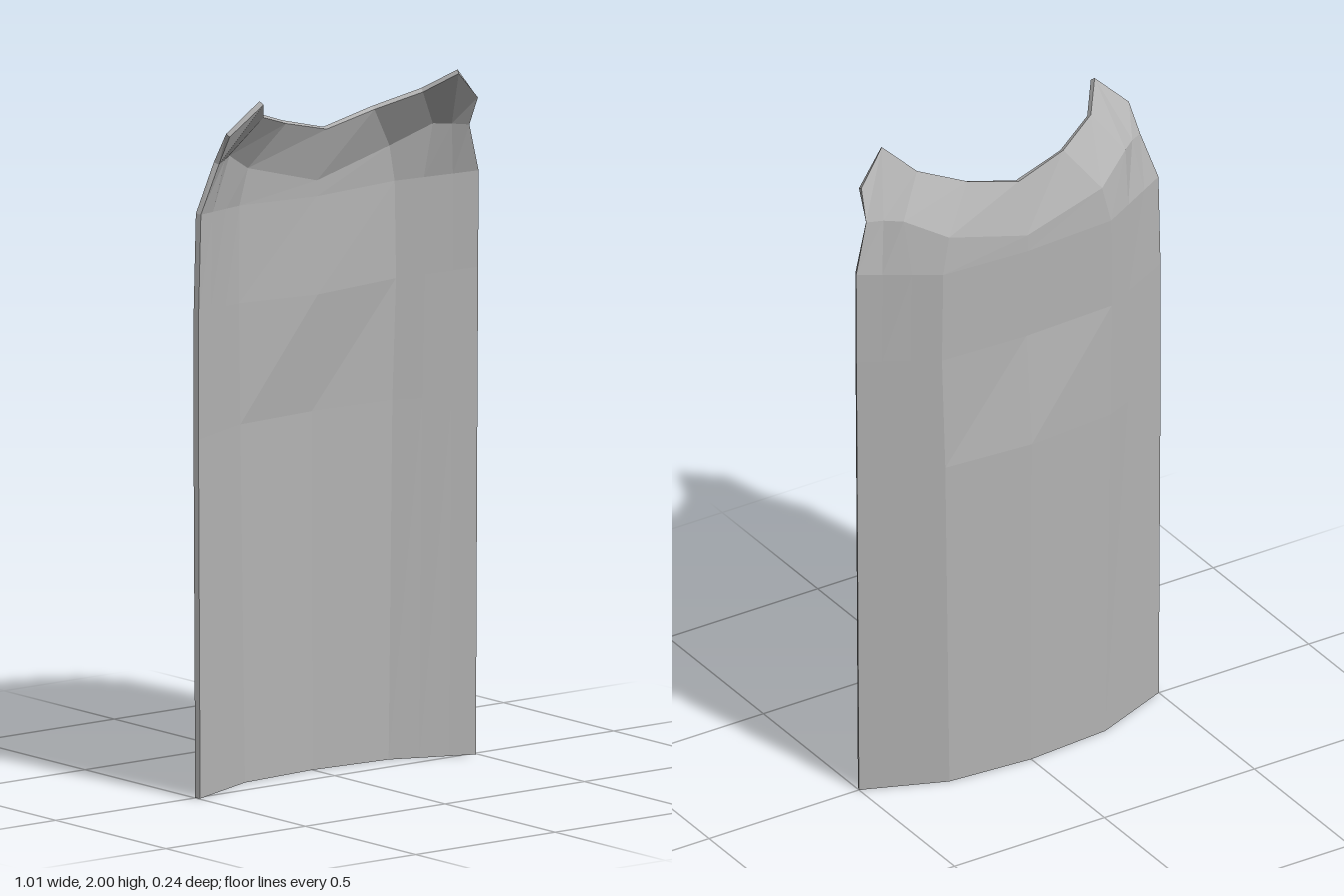
import * as THREE from 'three';

const THICKNESS = 0.016;

// Fill the flat outer panel with two extra columns between b and e
function panelRow(a, b, e) {
  const mix = (t) => b.map((v, i) => v + (e[i] - v) * t);
  return [a, b, mix(0.36), mix(0.7), e];
}

// Cross-sections of the back surface from hem to collar, centre to left edge
const HALF_ROWS = [
  panelRow([0, 0, -0.117], [0.26, 0, -0.097], [0.5, 0, 0]),
  panelRow([0, 1.03, -0.12], [0.275, 1.03, -0.099], [0.506, 1.03, 0]),
  panelRow([0, 1.37, -0.092], [0.283, 1.38, -0.094], [0.507, 1.4, 0.002]),
  panelRow([0, 1.65, -0.098], [0.28, 1.66, -0.096], [0.504, 1.68, 0.008]),
  [[0, 1.7, -0.096], [0.255, 1.77, -0.088], [0.37, 1.83, -0.03], [0.415, 1.83, 0.005], [0.457, 1.825, 0.03]],
  [[0, 1.855, -0.052], [0.16, 1.897, -0.034], [0.29, 1.942, 0.026], [0.355, 2.0, 0.108], [0.446, 1.912, 0.072]],
];

function buildShell() {
  const outer = HALF_ROWS.map((row) => {
    const pts = row.map((p) => new THREE.Vector3(...p));
    const mirrored = pts.slice(1).reverse().map((p) => new THREE.Vector3(-p.x, p.y, p.z));
    return [...mirrored, ...pts];
  });
  const rows = outer.length;
  const cols = outer[0].length;

  // Front surface: the back surface pushed forward along its normals
  const inner = outer.map((row, r) => row.map((p, c) => {
    const du = row[Math.min(c + 1, cols - 1)].clone().sub(row[Math.max(c - 1, 0)]);
    const dv = outer[Math.min(r + 1, rows - 1)][c].clone().sub(outer[Math.max(r - 1, 0)][c]);
    const q = p.clone().addScaledVector(du.cross(dv).normalize(), THICKNESS);
    if (r === 0) q.y = 0;
    return q;
  }));

  const positions = [];
  const quad = (a, b, c, d) => {
    for (const p of [a, b, c, a, c, d]) positions.push(p.x, p.y, p.z);
  };

  // Front and back faces
  for (let r = 0; r < rows - 1; r++) {
    for (let c = 0; c < cols - 1; c++) {
      quad(inner[r][c], inner[r][c + 1], inner[r + 1][c + 1], inner[r + 1][c]);
      quad(outer[r][c + 1], outer[r][c], outer[r + 1][c], outer[r + 1][c + 1]);
    }
  }

  // Thin rim all the way round
  const loop = [];
  for (let c = 0; c < cols - 1; c++) loop.push([0, c]);
  for (let r = 0; r < rows - 1; r++) loop.push([r, cols - 1]);
  for (let c = cols - 1; c > 0; c--) loop.push([rows - 1, c]);
  for (let r = rows - 1; r > 0; r--) loop.push([r, 0]);
  loop.forEach(([r, c], i) => {
    const [r2, c2] = loop[(i + 1) % loop.length];
    quad(outer[r][c], outer[r2][c2], inner[r2][c2], inner[r][c]);
  });

  const geometry = new THREE.BufferGeometry();
  geometry.setAttribute('position', new THREE.Float32BufferAttribute(positions, 3));
  geometry.computeVertexNormals();
  return geometry;
}

export function createModel() {
  const group = new THREE.Group();
  group.name = 'cape';
  const material = new THREE.MeshStandardMaterial({ color: 0xb4b4b4, flatShading: true });
  material.name = 'grey cloth';
  const cape = new THREE.Mesh(buildShell(), material);
  cape.name = 'capeCloth';
  group.add(cape);
  return group;
}
